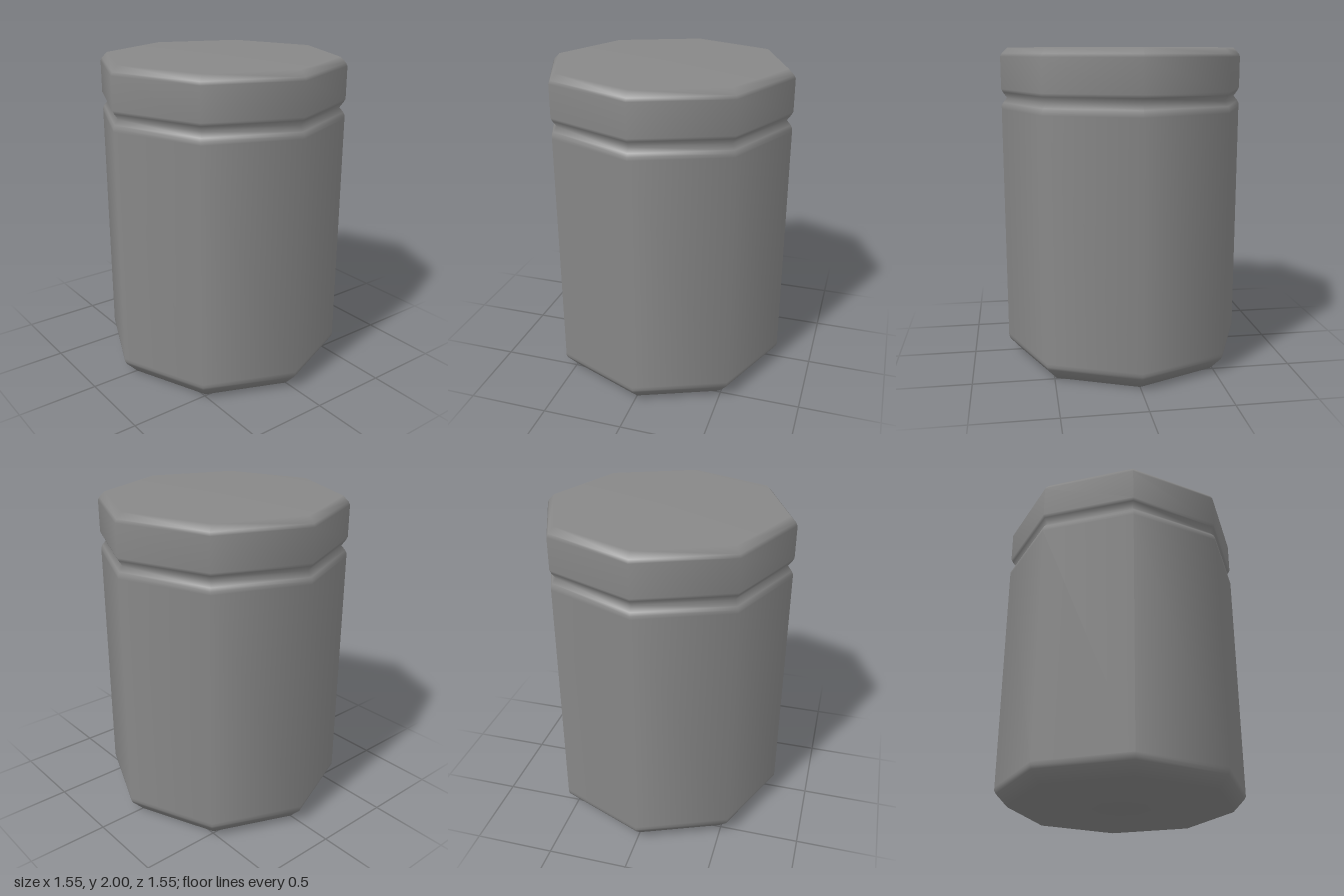
import * as THREE from 'three';

export function createModel() {
  const group = new THREE.Group();
  group.name = 'jar';

  // One smooth-shaded, eight-sided turned surface; profile as [radius, y], bottom to top
  const profile = [
    // bevelled foot
    [0, 0], [0.69, 0], [0.765, 0.08], [0.775, 0.1],
    // straight wall, held flat close to both ends
    [0.775, 0.12], [0.775, 1.62],
    // shoulder and groove under the lid
    [0.775, 1.64], [0.765, 1.66], [0.74, 1.69], [0.765, 1.725], [0.775, 1.745],
    // lid wall, bevel and top
    [0.775, 1.945], [0.765, 1.965], [0.73, 2], [0, 2],
  ].map(([r, y]) => new THREE.Vector2(r, y));

  const body = new THREE.Mesh(
    new THREE.LatheGeometry(profile, 8),
    new THREE.MeshStandardMaterial({ color: 0x888888 }),
  );
  body.name = 'bodyAndLid';
  group.add(body);

  return group;
}
